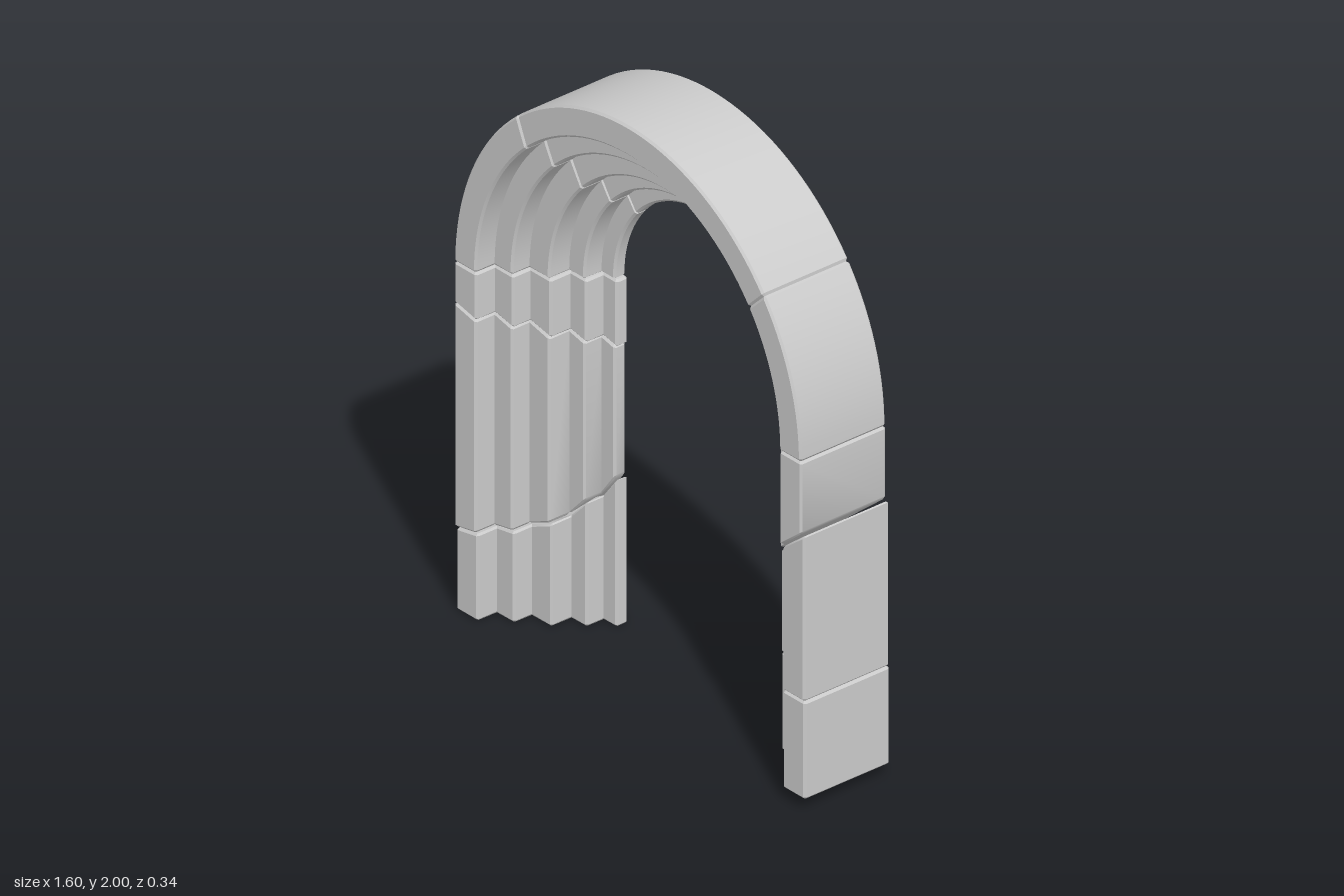
import * as THREE from 'three';
import { toCreasedNormals } from 'three/addons/utils/BufferGeometryUtils.js';

const BACK = -0.165, SPRING = 1.19, BEVEL = 0.007;

// Stepped cross-section: radius from the arch axis against depth
const STEP_R = [0.8, 0.7, 0.62, 0.53, 0.46, 0.4];
const STEP_Z = [0.17, 0.095, 0.026, -0.053, -0.12];

function makeProfile() {
  const corners = [];
  STEP_Z.forEach((z, i) => corners.push([STEP_R[i], z], [STEP_R[i + 1], z]));
  // back face, split at every step so bent joints follow through
  [...STEP_R].reverse().forEach(r => corners.push([r, BACK]));
  const pts = [];
  corners.forEach((c, i) => {
    const v = new THREE.Vector2(...c);
    const a = new THREE.Vector2(...corners.at(i - 1)).sub(v).normalize();
    const b = new THREE.Vector2(...corners[(i + 1) % corners.length]).sub(v).normalize();
    // chamfer the outward corners only
    if (a.cross(b) < -0.1) {
      pts.push(v.clone().addScaledVector(a, BEVEL), v.clone().addScaledVector(b, BEVEL));
    } else pts.push(v);
  });
  return pts;
}

// Moves the outline inward, for the bevel beside each joint
function inset(pts, d) {
  return pts.map((p, i) => {
    const e = pts[(i + 1) % pts.length].clone().sub(p).normalize();
    const f = p.clone().sub(pts.at(i - 1)).normalize();
    const n = new THREE.Vector2(-e.y - f.y, e.x + f.x).normalize();
    return p.clone().addScaledVector(n, d);
  });
}

let PROFILE = makeProfile();
if (THREE.ShapeUtils.area(PROFILE) < 0) PROFILE = PROFILE.reverse();
const INNER = inset(PROFILE, BEVEL);

// Joint line: value interpolated over [radius, value] pairs, radius ascending
function joint(pairs, r) {
  if (typeof pairs === 'number') return pairs;
  let i = 0;
  while (i < pairs.length - 2 && r > pairs[i + 1][0]) i++;
  const [r0, v0] = pairs[i], [r1, v1] = pairs[i + 1];
  return v0 + (v1 - v0) * (r - r0) / (r1 - r0);
}

// One block: the profile swept between two joints
function block(name, from, to, place, segments, pad) {
  const rings = [[0, 0, INNER]];
  for (let i = 0; i <= segments; i++) {
    const t = i / segments;
    rings.push([t, pad * (1 - 2 * t), PROFILE]);
  }
  rings.push([1, 0, INNER]);

  const n = PROFILE.length, pos = [], idx = [];
  for (const [t, shift, outline] of rings) {
    for (const p of outline) {
      const s = THREE.MathUtils.lerp(joint(from, p.x), joint(to, p.x), t) + shift;
      pos.push(...place(p.x, s), p.y);
    }
  }
  for (let k = 0; k < rings.length - 1; k++) {
    for (let i = 0; i < n; i++) {
      const a = k * n + i, b = k * n + (i + 1) % n;
      idx.push(a, b, b + n, a, b + n, a + n);
    }
  }
  const end = (rings.length - 1) * n;
  for (const [a, b, c] of THREE.ShapeUtils.triangulateShape(INNER, [])) {
    idx.push(a, c, b, end + a, end + b, end + c);
  }

  // turn the faces outward if the sweep is mirrored
  let volume = 0;
  const at = i => new THREE.Vector3().fromArray(pos, i * 3);
  for (let i = 0; i < idx.length; i += 3) {
    volume += at(idx[i]).dot(at(idx[i + 1]).cross(at(idx[i + 2])));
  }
  if (volume < 0) idx.reverse();

  const geo = new THREE.BufferGeometry();
  geo.setAttribute('position', new THREE.Float32BufferAttribute(pos, 3));
  geo.setIndex(idx);
  const mesh = new THREE.Mesh(toCreasedNormals(geo, 0.5),
    new THREE.MeshStandardMaterial({ color: 0xcccccc, roughness: 0.9 }));
  mesh.name = name;
  return mesh;
}

// Leg blocks rise straight; inner and outer give the block's own width
function leg(name, side, from, to, inner, outer) {
  const place = (r, y) => [side * (inner + (r - 0.4) / 0.4 * (outer - inner)), y];
  return block(name, from, to, place, 1, BEVEL);
}

// Arch blocks turn about the springing line, angles in degrees
function arc(name, from, to, segments) {
  const place = (r, deg) => {
    const a = THREE.MathUtils.degToRad(deg);
    return [-0.01 + 0.988 * r * Math.cos(a), SPRING + 1.012 * r * Math.sin(a)];
  };
  return block(name, from, to, place, segments, 0.6);
}

export function createModel() {
  const group = new THREE.Group();
  group.name = 'stoneArch';

  // leg on the -x side
  const crack = [[0.4, 0.51], [0.46, 0.43], [0.53, 0.355], [0.58, 0.32], [0.8, 0.28]];
  const slant = [[0.4, 0.96], [0.8, 1.05]];
  group.add(
    leg('rightLegBase', -1, 0, crack, 0.395, 0.79),
    leg('rightLegShaft', -1, crack, slant, 0.405, 0.8),
    leg('rightLegTop', -1, slant, SPRING, 0.395, 0.8));

  // leg on the +x side, broken off a little shorter
  const diagonal = [[0.4, 0.62], [0.8, 0.945]];
  group.add(
    leg('leftLegBase', 1, 0.04, 0.375, 0.39, 0.8),
    leg('leftLegShaft', 1, 0.375, diagonal, 0.39, 0.797),
    leg('leftLegTop', 1, diagonal, SPRING, 0.388, 0.782));

  // curved blocks of the arch
  const leftCut = [[0.4, 47.5], [0.62, 36.5], [0.8, 38]];
  const rightCut = [[0.4, 138.5], [0.8, 129.5]];
  group.add(
    arc('archLeft', 0, leftCut, 14),
    arc('archCrown', leftCut, rightCut, 32),
    arc('archRight', rightCut, 180, 18));
  return group;
}
